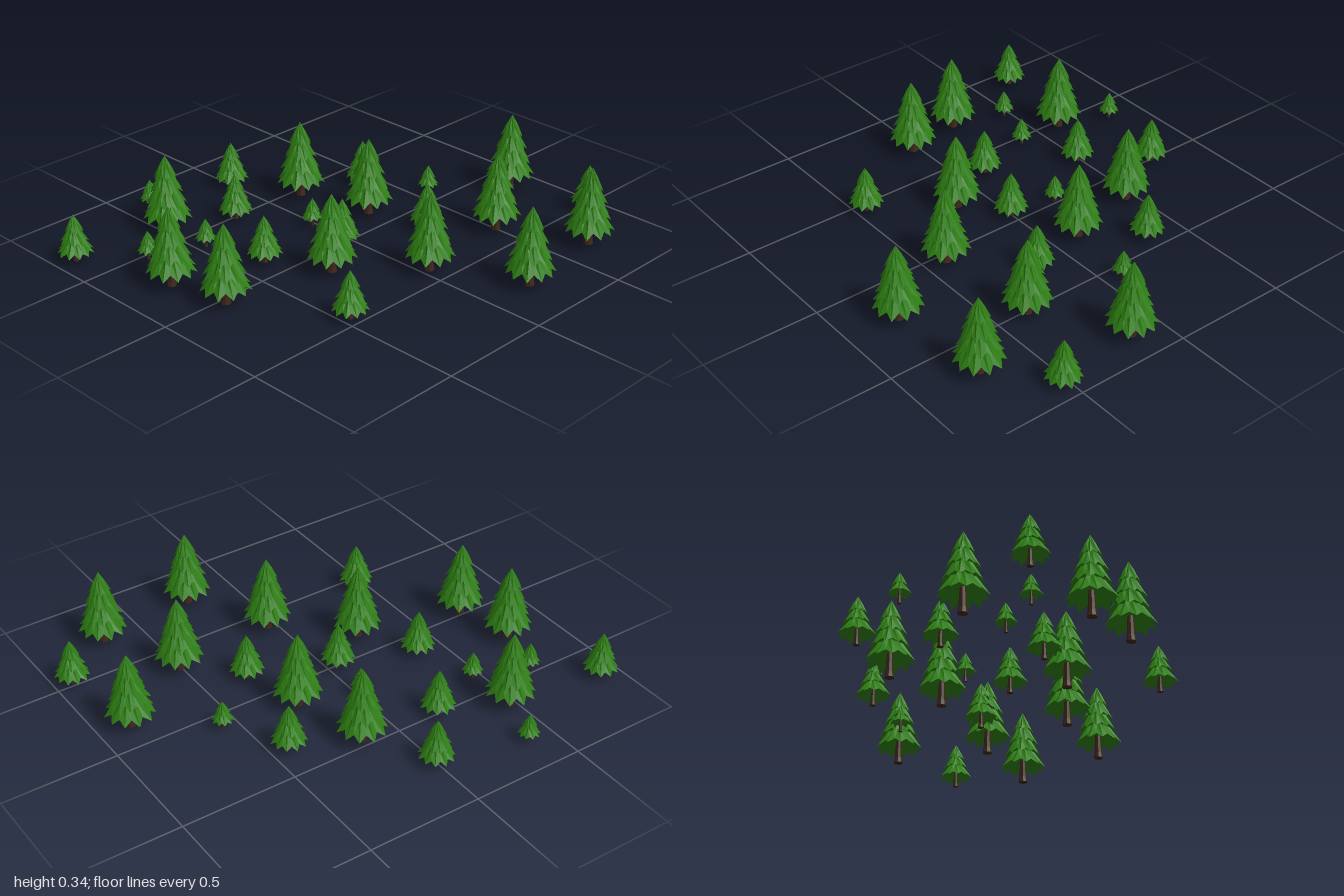
import * as THREE from 'three';

const leafMat = new THREE.MeshStandardMaterial({ color: 0x2d7d12, flatShading: true, side: THREE.DoubleSide });
const barkMat = new THREE.MeshStandardMaterial({ color: 0x3d2619, flatShading: true });

// One pleated skirt of branches: apex, shoulder ring, drooping star rim, hollow underside
function skirt(top, bottom, radius, points, turn) {
  const n = points * 2, h = top - bottom;
  const rings = [
    { r: [0, 0], y: [top, top] },
    { r: [0.50, 0.43], y: [bottom + h * 0.55, bottom + h * 0.52] },
    { r: [1, 0.80], y: [bottom, bottom + h * 0.16] },
    { r: [0, 0], y: [bottom + h * 0.34, bottom + h * 0.34] },
  ];
  const pos = [], idx = [];
  rings.forEach(({ r, y }) => {
    for (let i = 0; i < n; i++) {
      const a = (i / n) * Math.PI * 2 + turn;
      // Slightly uneven branch lengths
      const wobble = 1 - 0.05 * (0.5 + 0.5 * Math.sin(i * 2.3 + turn * 7));
      const rad = radius * r[i % 2] * wobble;
      pos.push(Math.sin(a) * rad, y[i % 2], Math.cos(a) * rad);
    }
  });
  for (let k = 0; k < rings.length - 1; k++) {
    for (let i = 0; i < n; i++) {
      const j = (i + 1) % n, a = k * n + i, b = k * n + j, c = a + n, d = b + n;
      if (k < 2) idx.push(a, c, d);
      else idx.push(a, c, b);
      if (k === 1) idx.push(a, d, b);
    }
  }
  const g = new THREE.BufferGeometry();
  g.setAttribute('position', new THREE.Float32BufferAttribute(pos, 3));
  g.setIndex(idx);
  const flat = g.toNonIndexed();
  flat.computeVertexNormals();
  return flat;
}

// Tree kinds: tiers are [top, bottom, radius]; spots are [x, z]
const kinds = [
  {
    name: 'largeTree', trunk: 0.021, trunkTop: 0.16, points: 11,
    tiers: [[0.21, 0.062, 0.108], [0.262, 0.122, 0.09], [0.305, 0.182, 0.071], [0.345, 0.245, 0.05]],
    spots: [[0.14, -0.86], [0.72, -0.67], [0.36, -0.505], [0.77, -0.225], [-0.125, -0.235], [-0.46, -0.155],
      [0.405, -0.04], [0.135, 0.245], [-0.61, 0.475], [0.025, 0.715], [-0.235, 0.77]],
  },
  {
    name: 'mediumTree', trunk: 0.013, trunkTop: 0.1, points: 11,
    tiers: [[0.135, 0.038, 0.078], [0.172, 0.085, 0.06], [0.208, 0.132, 0.04]],
    spots: [[0.525, -0.92], [-0.34, -0.42], [0.15, -0.305], [-0.74, 0], [0, 0.05], [-0.49, 0.2],
      [-0.115, 0.38], [0.45, 0.46], [-0.67, 0.91]],
  },
  {
    name: 'smallTree', trunk: 0.008, trunkTop: 0.07, points: 10,
    tiers: [[0.095, 0.036, 0.047], [0.127, 0.068, 0.033]],
    spots: [[-0.08, -0.565], [-0.21, 0.017], [-0.835, 0.385], [-0.385, 0.46], [-0.47, 0.695]],
  },
];

export function createModel() {
  const forest = new THREE.Group();
  forest.name = 'forest';
  for (const kind of kinds) {
    // Tapered trunk, flared at the foot
    const t = kind.trunk, h = kind.trunkTop;
    const trunkGeo = new THREE.LatheGeometry(
      [[0, 0], [t, 0], [t * 0.8, h * 0.15], [t * 0.65, h * 0.5], [t * 0.4, h]].map(p => new THREE.Vector2(...p)), 8);
    const tierGeos = kind.tiers.map(([top, bottom, r], i) => skirt(top, bottom, r, kind.points, i * 0.29));
    for (const [x, z] of kind.spots) {
      const tree = new THREE.Group();
      tree.name = kind.name;
      const trunk = new THREE.Mesh(trunkGeo, barkMat);
      trunk.name = 'trunk';
      tree.add(trunk);
      for (const geo of tierGeos) {
        const tier = new THREE.Mesh(geo, leafMat);
        tier.name = 'branchTier';
        tree.add(tier);
      }
      tree.position.set(x, 0, z);
      forest.add(tree);
    }
  }
  return forest;
}
